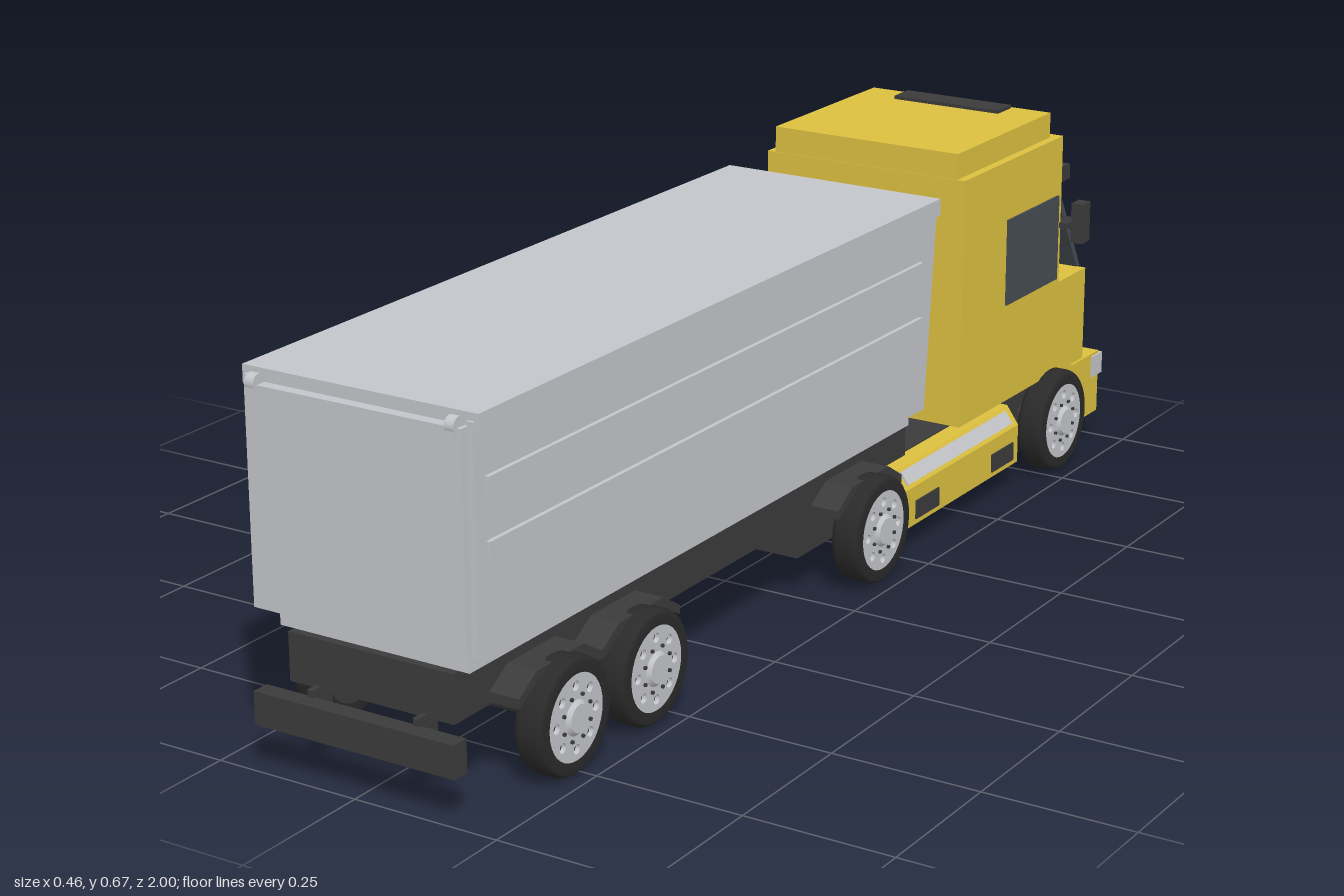
import * as THREE from 'three';

const mat = (color) => new THREE.MeshStandardMaterial({ color });
const yellow = mat(0xdcc040), dark = mat(0x3b3b3b), grey = mat(0xc4c5ca);
const glass = mat(0x464c52), rubber = mat(0x2a2a2a);

export function createModel() {
  const truck = new THREE.Group();
  truck.name = 'tipperTruck';

  const add = (name, geo, material, parent = truck) => {
    const m = new THREE.Mesh(geo, material);
    m.name = name;
    parent.add(m);
    return m;
  };
  // Box given by its limits on each axis
  const box = (name, material, x0, x1, y0, y1, z0, z1, parent) => {
    const m = add(name, new THREE.BoxGeometry(Math.abs(x1 - x0), y1 - y0, Math.abs(z1 - z0)), material, parent);
    m.position.set((x0 + x1) / 2, (y0 + y1) / 2, (z0 + z1) / 2);
    return m;
  };
  // Side outline of [z, y] points, extruded from x0 to x1
  const sideShape = (name, material, pts, x0, x1) => {
    const shape = new THREE.Shape(pts.map(([z, y]) => new THREE.Vector2(z, y)));
    const w = Math.abs(x1 - x0);
    const geo = new THREE.ExtrudeGeometry(shape, { depth: w, bevelEnabled: false });
    geo.translate(0, 0, -w / 2).rotateY(-Math.PI / 2).translate((x0 + x1) / 2, 0, 0);
    return add(name, geo, material);
  };
  const bothSides = (fn) => [1, -1].forEach(fn);

  // Chassis
  box('trailerFrame', dark, -0.148, 0.148, 0.135, 0.213, -0.345, 0.955);
  box('tractorFrame', dark, -0.14, 0.14, 0.07, 0.15, -0.9, 0);
  box('rearBumper', dark, -0.18, 0.18, 0.075, 0.128, 0.97, 1);
  bothSides((s) => box('bumperBracket', dark, s * 0.09, s * 0.1, 0.1, 0.14, 0.93, 0.975));

  // Tipper body
  box('bodyFloor', grey, -0.17, 0.17, 0.215, 0.255, -0.315, 0.945);
  box('bodyShell', grey, -0.2, 0.2, 0.25, 0.6, -0.305, 0.95);
  box('topRim', grey, -0.207, 0.207, 0.583, 0.612, -0.345, 0.96);
  box('tailgate', grey, -0.19, 0.19, 0.25, 0.592, 0.945, 0.978);
  bothSides((s) => {
    box('rearPost', grey, s * 0.19, s * 0.201, 0.25, 0.6, 0.94, 0.965);
    sideShape('frontGusset', grey, [[-0.3, 0.25], [-0.312, 0.25], [-0.345, 0.6], [-0.3, 0.6]], s * 0.185, s * 0.201);
    for (const y of [0.39, 0.486]) box('sideRib', grey, s * 0.199, s * 0.207, y, y + 0.029, -0.29, 0.94);
    box('hingeArm', grey, s * 0.167, s * 0.183, 0.576, 0.596, 0.955, 0.985);
    const pin = add('hingePin', new THREE.CylinderGeometry(0.014, 0.014, 0.016, 20).rotateZ(Math.PI / 2), grey);
    pin.position.set(s * 0.175, 0.594, 0.972);
  });
  const ram = add('tippingRam', new THREE.CylinderGeometry(0.012, 0.012, 0.36, 16), dark);
  ram.position.set(0, 0.4, -0.318);
  box('ramBase', dark, -0.03, 0.03, 0.21, 0.3, -0.335, -0.306);

  // Cab
  box('cabBody', yellow, -0.195, 0.195, 0.175, 0.616, -0.82, -0.452);
  box('cabNose', yellow, -0.195, 0.195, 0.165, 0.345, -0.928, -0.81);
  box('cabRoof', yellow, -0.18, 0.18, 0.61, 0.661, -0.797, -0.453);
  box('roofHatch', dark, -0.105, 0.105, 0.655, 0.667, -0.79, -0.74);
  box('frontBumper', yellow, -0.2, 0.2, 0.055, 0.172, -0.985, -0.878);
  box('bumperStrip', dark, -0.17, 0.17, 0.048, 0.076, -1, -0.96);
  sideShape('windscreen', glass, [[-0.822, 0.53], [-0.835, 0.53], [-0.938, 0.345], [-0.925, 0.345]], -0.178, 0.178);
  box('sunVisor', dark, -0.185, 0.185, 0.525, 0.552, -0.872, -0.83);

  // Grille with slats
  box('grillePanel', dark, -0.12, 0.12, 0.175, 0.33, -0.982, -0.965);
  box('grilleMount', dark, -0.1, 0.1, 0.16, 0.2, -0.97, -0.92);
  for (let i = 0; i < 6; i++) {
    const y = 0.178 + i * 0.026;
    box('grilleSlat', dark, -0.115, 0.115, y, y + 0.016, -0.994, -0.98);
  }

  bothSides((s) => {
    box('sideWindow', glass, s * 0.19, s * 0.199, 0.355, 0.51, -0.805, -0.612);
    box('headlight', grey, s * 0.15, s * 0.203, 0.127, 0.167, -0.995, -0.955);
    box('mirror', dark, s * 0.205, s * 0.228, 0.415, 0.488, -0.872, -0.842);
    box('mirrorArm', dark, s * 0.185, s * 0.21, 0.447, 0.457, -0.862, -0.815);

    // Side tank skirt with sloped shoulder, step strip and vents
    const skirt = new THREE.Shape([[0.135, 0.045], [0.195, 0.045], [0.195, 0.115], [0.172, 0.148], [0.135, 0.148]]
      .map(([x, y]) => new THREE.Vector2(s * x, y)));
    const skirtGeo = new THREE.ExtrudeGeometry(skirt, { depth: 0.42, bevelEnabled: false });
    add('sideSkirt', skirtGeo, yellow).position.z = -0.676;
    const strip = add('stepStrip', new THREE.BoxGeometry(0.006, 0.026, 0.38), grey);
    strip.position.set(s * 0.184, 0.132, -0.466);
    strip.rotation.z = s * Math.atan2(0.023, 0.033);
    for (const z of [-0.38, -0.655]) box('skirtVent', dark, s * 0.19, s * 0.198, 0.055, 0.088, z, z + 0.08);
  });

  // Wheel parts, built facing +x
  const R = 0.0925;
  const tyreGeo = new THREE.LatheGeometry([
    [0.068, -0.024], [0.085, -0.025], [R - 0.003, -0.021], [R, -0.014],
    [R, 0.014], [R - 0.003, 0.021], [0.085, 0.025], [0.068, 0.024],
  ].map(([r, y]) => new THREE.Vector2(r, y)), 36).rotateZ(-Math.PI / 2);
  const disc = new THREE.Shape().absarc(0, 0, 0.07, 0, Math.PI * 2);
  for (let i = 0; i < 8; i++) {
    const a = (i / 8) * Math.PI * 2;
    disc.holes.push(new THREE.Path().absarc(0.05 * Math.cos(a), 0.05 * Math.sin(a), 0.008, 0, Math.PI * 2, true));
  }
  const rimGeo = new THREE.ExtrudeGeometry(disc, { depth: 0.008, bevelEnabled: false, curveSegments: 16 })
    .translate(0, 0, 0.016).rotateY(Math.PI / 2);
  const backGeo = new THREE.CylinderGeometry(0.07, 0.07, 0.036, 32).rotateZ(Math.PI / 2);
  const hubGeo = new THREE.CylinderGeometry(0.022, 0.03, 0.008, 20).rotateZ(-Math.PI / 2);
  const boltGeo = new THREE.CylinderGeometry(0.003, 0.003, 0.006, 6).rotateZ(-Math.PI / 2);

  // Axles, wheels and mudguards
  for (const z of [0.765, 0.553, -0.135, -0.795]) {
    const axle = add('axle', new THREE.CylinderGeometry(0.015, 0.015, 0.37, 16).rotateZ(Math.PI / 2), dark);
    axle.position.set(0, 0.0935, z);
    bothSides((s) => {
      const wheel = new THREE.Group();
      wheel.name = 'wheel';
      wheel.position.set(s * 0.202, 0.0935, z);
      wheel.rotation.y = s > 0 ? 0 : Math.PI;
      truck.add(wheel);
      add('tyre', tyreGeo, rubber, wheel).material.side = THREE.DoubleSide;
      add('rim', rimGeo, grey, wheel);
      add('rimBack', backGeo, dark, wheel).position.x = -0.004;
      add('hub', hubGeo, grey, wheel).position.x = 0.026;
      for (let i = 0; i < 8; i++) {
        const a = ((i + 0.5) / 8) * Math.PI * 2;
        add('wheelBolt', boltGeo, dark, wheel).position.set(0.025, 0.036 * Math.sin(a), 0.036 * Math.cos(a));
      }
      if (z > -0.5) {
        sideShape('mudguard', dark, [[-0.105, 0.14], [-0.105, 0.155], [-0.06, 0.183], [0.06, 0.183], [0.105, 0.155],
          [0.105, 0.14], [0.055, 0.168], [-0.055, 0.168]].map(([dz, y]) => [z + dz, y]), s * 0.14, s * 0.2);
      }
    });
  }
  return truck;
}
